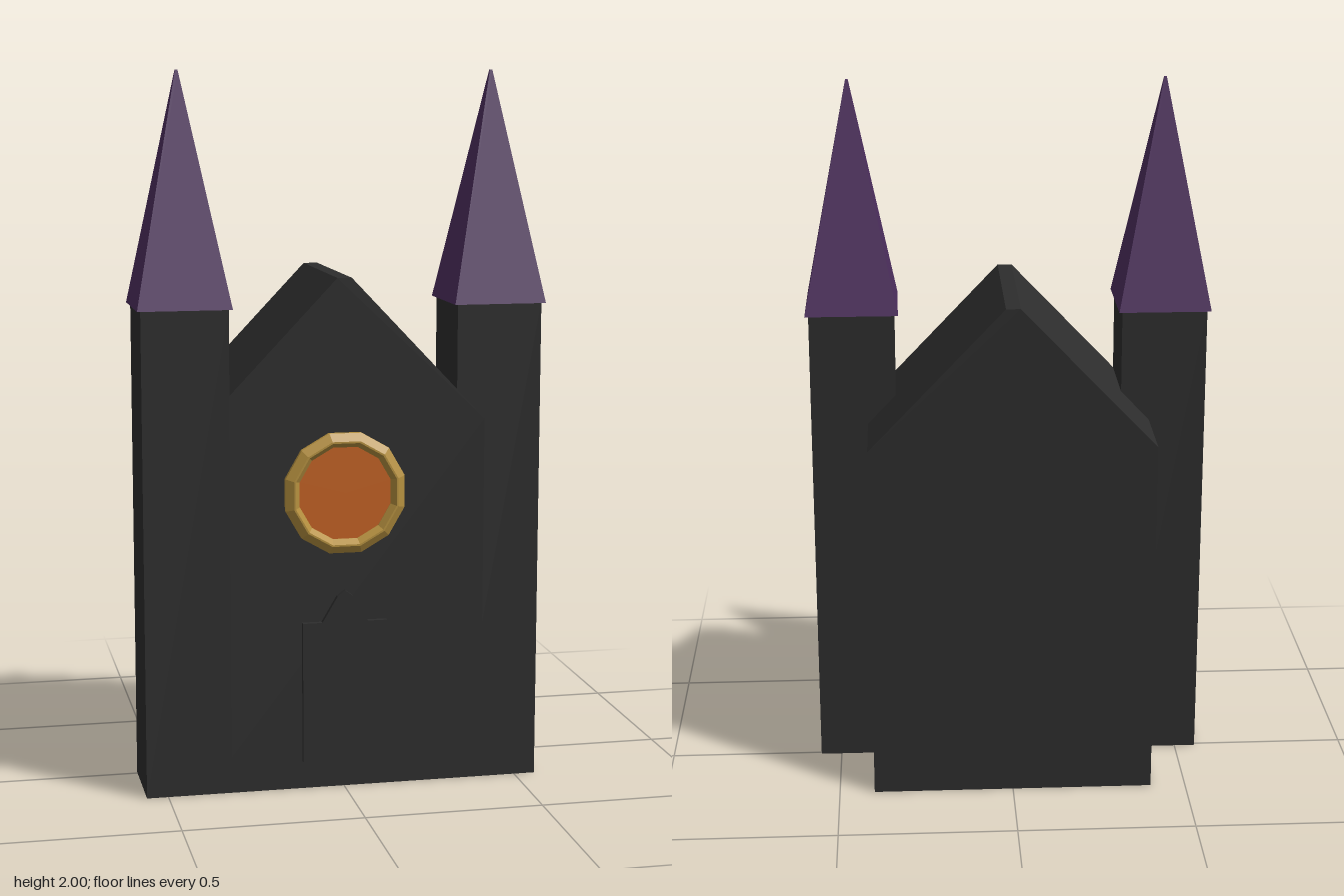
import * as THREE from 'three';

const material = (name, color) => {
  const m = new THREE.MeshStandardMaterial({ color });
  m.name = name;
  return m;
};

// Unshared corners give every facet its own flat normal
function faceted(geometry) {
  const g = geometry.index ? geometry.toNonIndexed() : geometry;
  g.computeVertexNormals();
  return g;
}

// Outline in x and y, extruded along z from back to front
function slab(points, back, front) {
  const shape = new THREE.Shape(points.map(([x, y]) => new THREE.Vector2(x, y)));
  const g = new THREE.ExtrudeGeometry(shape, { depth: front - back, bevelEnabled: false });
  return g.translate(0, 0, back);
}

export function createModel() {
  const group = new THREE.Group();
  const stone = material('dark stone', 0x2d2d2d);
  const purple = material('purple roof', 0x4e2f5f);
  const gold = material('gold frame', 0xb5903f);
  const amber = material('amber glass', 0xc26122);

  const add = (name, geometry, mat, x = 0, y = 0, z = 0) => {
    const mesh = new THREE.Mesh(geometry, mat);
    mesh.name = name;
    mesh.position.set(x, y, z);
    group.add(mesh);
  };

  // Gabled nave with a narrow flat ridge
  add('nave', slab([
    [-0.4, 0], [0.4, 0], [0.4, 1.04], [0.02, 1.44], [-0.02, 1.44], [-0.4, 1.04],
  ], -0.255, 0.225), stone);

  // Twin front towers with pyramid spires
  for (const [side, name] of [[1, 'left'], [-1, 'right']]) {
    add(name + 'Tower', new THREE.BoxGeometry(0.24, 1.365, 0.235), stone, side * 0.44, 0.6825, 0.1075);
    const spire = new THREE.CylinderGeometry(0.005, 0.13 * Math.SQRT2, 0.64, 4).rotateY(Math.PI / 4);
    add(name + 'Spire', faceted(spire), purple, side * 0.44, 1.68, 0.1055);
  }

  // Raised door with a small pointed crown
  add('door', slab([
    [-0.12, 0.08], [0.12, 0.08], [0.12, 0.48], [0.065, 0.48], [0.022, 0.553],
    [0, 0.57], [-0.022, 0.553], [-0.065, 0.48], [-0.12, 0.48],
  ], 0.2, 0.24), stone);

  // Twelve-sided round window: bevelled frame and flat glass
  const profile = [[0.174, 0], [0.174, 0.014], [0.152, 0.03], [0.147, 0.03], [0.133, 0.012], [0.133, 0]]
    .map(([r, h]) => new THREE.Vector2(r, h));
  const frame = new THREE.LatheGeometry(profile, 12, Math.PI / 12).rotateX(Math.PI / 2);
  add('windowFrame', faceted(frame), gold, 0, 0.845, 0.225);
  add('windowGlass', new THREE.CircleGeometry(0.135, 12, Math.PI / 12), amber, 0, 0.845, 0.235);

  return group;
}
